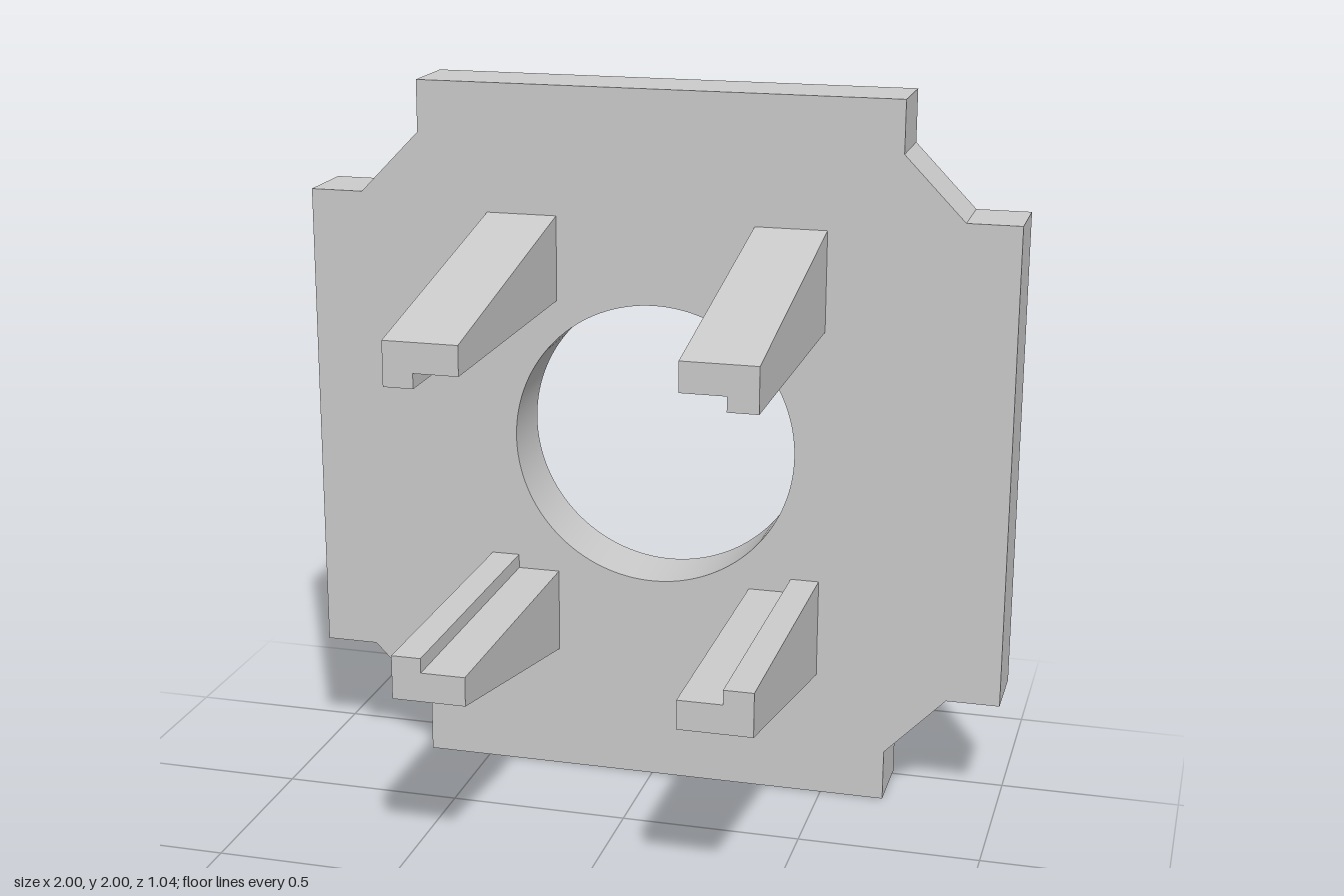
import * as THREE from 'three';
import { toCreasedNormals } from 'three/addons/utils/BufferGeometryUtils.js';

const material = new THREE.MeshStandardMaterial({ color: 0xcccccc });
const BACK = -0.52, FACE = -0.32, TIP = 0.52;
const ROOT_TOP = 0.64, TIP_TOP = 0.48; // height of an arm's sloped side from the centre

function polygon(points) {
  return new THREE.Shape(points.map(([x, y]) => new THREE.Vector2(x, y)));
}

// Square plate with notched, chamfered corners and a round opening
function createPlate() {
  const outline = polygon([
    [1, -0.68], [1, 0.68], [0.85, 0.68], [0.68, 0.855],
    [0.68, 1], [-0.68, 1], [-0.68, 0.855], [-0.85, 0.68],
    [-1, 0.68], [-1, -0.68], [-0.85, -0.68], [-0.68, -0.855],
    [-0.68, -1], [0.68, -1], [0.68, -0.855], [0.85, -0.68],
  ]);
  outline.holes.push(new THREE.Path().absarc(0, 0, 0.403, 0, Math.PI * 2, true));
  const geometry = new THREE.ExtrudeGeometry(outline, {
    depth: FACE - BACK, bevelEnabled: false, curveSegments: 64,
  });
  geometry.translate(0, 0, BACK);
  const plate = new THREE.Mesh(toCreasedNormals(geometry, Math.PI / 6), material);
  plate.name = 'plate';
  return plate;
}

// Stepped arm: L-shaped section whose outer side tapers toward the tip
function createArm(sx, sy) {
  const section = polygon([
    [0.28, 0.4], [0.4, 0.4], [0.4, 0.36], [0.48, 0.36],
    [0.48, ROOT_TOP], [0.28, ROOT_TOP],
  ].map(([x, y]) => [x * sx, y * sy]));
  const geometry = new THREE.ExtrudeGeometry(section, {
    depth: TIP - FACE, bevelEnabled: false,
  });
  geometry.translate(0, 0, FACE);
  const position = geometry.attributes.position;
  for (let i = 0; i < position.count; i++) {
    if (Math.abs(position.getY(i)) > 0.5 && position.getZ(i) > 0) position.setY(i, TIP_TOP * sy);
  }
  geometry.computeVertexNormals();
  const arm = new THREE.Mesh(geometry, material);
  arm.name = (sy > 0 ? 'upper' : 'lower') + (sx > 0 ? 'Left' : 'Right') + 'Arm';
  return arm;
}

export function createModel() {
  const model = new THREE.Group();
  model.name = 'mountingBracket';
  const body = new THREE.Group();
  body.name = 'body';
  body.position.y = 1;
  body.add(createPlate());
  for (const sx of [-1, 1]) for (const sy of [-1, 1]) body.add(createArm(sx, sy));
  model.add(body);
  return model;
}
